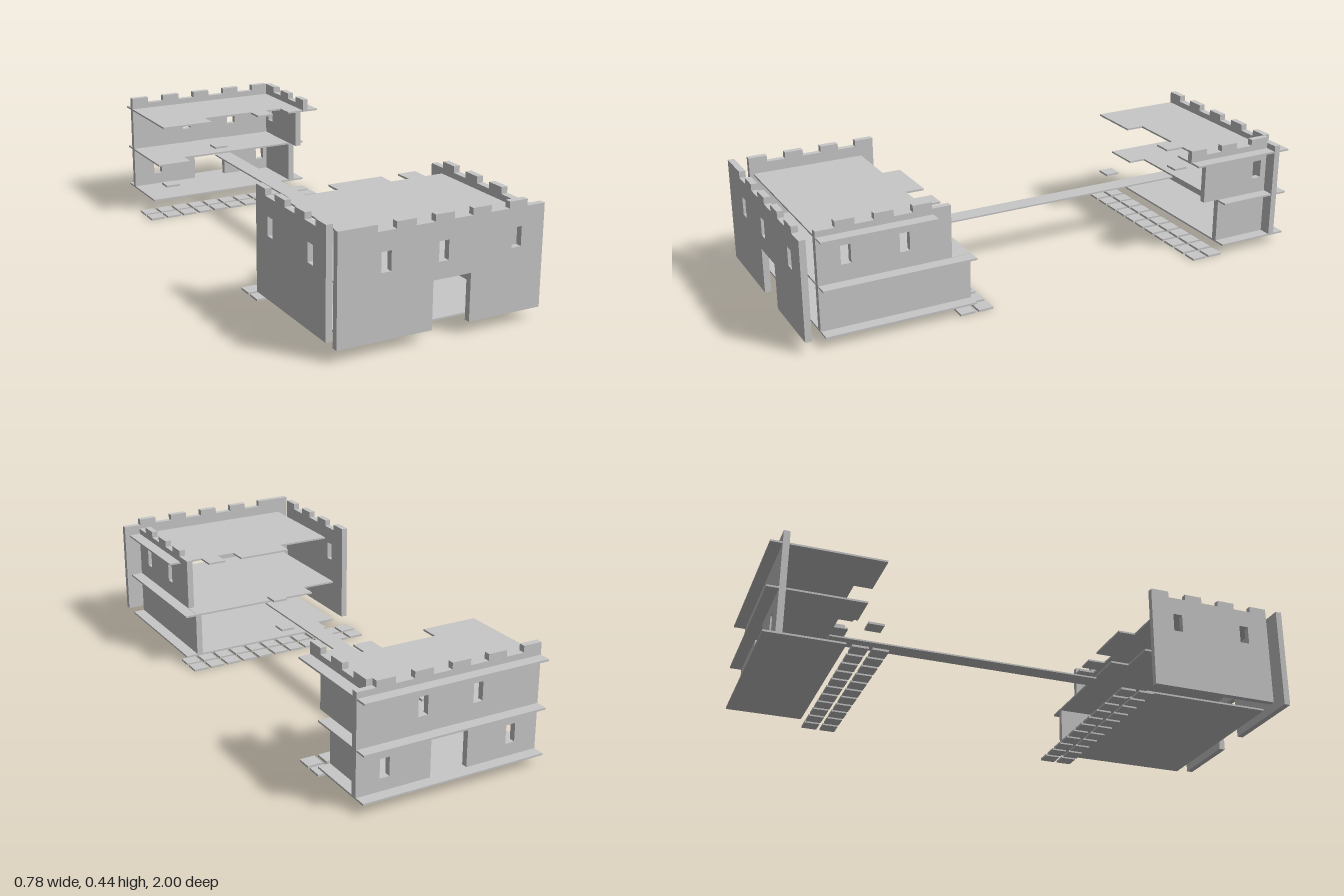
import * as THREE from 'three';

const BASE = 0.043, LOW = 0.413, HIGH = 0.437, MID = 0.215;
const THICK = 0.024;

// One closed shape from [u, v] corners, with rectangular holes [u0, v0, u1, v1]
function plate(points, holes = []) {
  const toV = ([u, v]) => new THREE.Vector2(u, v);
  const shape = new THREE.Shape(points.map(toV));
  for (const [u0, v0, u1, v1] of holes) {
    shape.holes.push(new THREE.Path([[u0, v0], [u0, v1], [u1, v1], [u1, v0]].map(toV)));
  }
  return shape;
}

// Battlement line running from high u to low u: edges descend, flags mark raised spans
function battlement(edges, flags) {
  const pts = [];
  flags.forEach((raised, i) => {
    const y = raised ? HIGH : LOW;
    pts.push([edges[i], y], [edges[i + 1], y]);
  });
  return pts.filter((p, i) => i === 0 || p[0] !== pts[i - 1][0] || p[1] !== pts[i - 1][1]);
}

// Window slot centred on u, v
const slot = (u, v = 0.31) => [u - 0.0185, v - 0.035, u + 0.0185, v + 0.035];

export function createModel() {
  const model = new THREE.Group();
  model.name = 'splitCastle';
  const stone = new THREE.MeshStandardMaterial({ color: 0xc8c8c8 });
  stone.name = 'stone';

  function add(parent, name, geometry) {
    const mesh = new THREE.Mesh(geometry, stone);
    mesh.name = name;
    parent.add(mesh);
    return mesh;
  }
  const extrude = (shape, depth) =>
    new THREE.ExtrudeGeometry(shape, { depth, bevelEnabled: false });

  // Wall across x, starting at z
  function crossWall(parent, name, points, holes, z) {
    add(parent, name, extrude(plate(points, holes), THICK).translate(0, 0, z));
  }
  // Wall along z, starting at x
  function sideWall(parent, name, points, holes, x) {
    add(parent, name, extrude(plate(points, holes), THICK)
      .rotateY(-Math.PI / 2).translate(x + THICK, 0, 0));
  }
  // Floor from [x, z] corners, with its top at the given height
  function floor(parent, name, points, top, thick = 0.007) {
    const flipped = points.map(([x, z]) => [x, -z]);
    add(parent, name, extrude(plate(flipped), thick)
      .rotateX(-Math.PI / 2).translate(0, top - thick, 0));
  }
  function box(parent, name, w, h, d, x, y, z) {
    add(parent, name, new THREE.BoxGeometry(w, h, d).translate(x, y, z));
  }

  const front = new THREE.Group();
  front.name = 'frontHall';
  const back = new THREE.Group();
  back.name = 'backHall';
  model.add(front, back);

  // Gate wall edges, shared by the front and back
  const edgesX = [0.392, 0.321, 0.25, 0.178, 0.107, 0.035, -0.037, -0.108, -0.18, -0.25];
  const flagsX = [0, 1, 0, 1, 0, 1, 0, 1, 0, 1];
  const gate = (left) => [
    [left, BASE], [-0.038, BASE], [-0.038, MID], [0.107, MID], [0.107, BASE], [0.392, BASE],
    ...battlement([...edgesX, left], flagsX),
  ];

  // Front hall walls
  crossWall(front, 'frontGateWall', gate(-0.392), [slot(-0.216), slot(-0.001), slot(0.284)], 0.976);
  const edgesZ = [0.928, 0.858, 0.787, 0.717, 0.646, 0.576, 0.505, 0.433];
  sideWall(front, 'frontLeftWall',
    [[0.433, MID], [0.362, MID], [0.362, BASE], [0.928, BASE],
      ...battlement(edgesZ, [0, 1, 0, 1, 0, 1, 0])],
    [slot(0.824), slot(0.609)], 0.32);
  sideWall(front, 'frontRightWall',
    [[0.433, BASE], [0.928, BASE], ...battlement(edgesZ, [1, 0, 1, 0, 1, 0, 1])],
    [slot(0.824), slot(0.54)], -0.392);

  // Front hall floors, broken along the rift
  const R = 0.39, L = -0.322;
  floor(front, 'frontGroundFloor',
    [[L, 0.926], [R, 0.926], [R, 0.36], [-0.25, 0.36], [-0.25, 0.43], [L, 0.43]], BASE);
  floor(front, 'frontUpperFloor',
    [[L, 0.926], [R, 0.926], [R, 0.357], [-0.18, 0.357], [-0.18, 0.43], [L, 0.43]], 0.214);
  floor(front, 'frontRoof',
    [[L, 0.926], [R, 0.926], [R, 0.5], [0.25, 0.5], [0.25, 0.43], [0.178, 0.43], [0.178, 0.5],
      [0.107, 0.5], [0.107, 0.43], [-0.108, 0.43], [-0.108, 0.5], [L, 0.5]], 0.391);

  // Back hall walls
  crossWall(back, 'backGateWall', gate(L),
    [slot(0.143), slot(-0.072), slot(0.284, 0.125), slot(-0.214, 0.125)], -0.956);
  sideWall(back, 'backLeftWall',
    [[-0.932, BASE], [-0.71, BASE], [-0.71, MID], [-0.643, MID], [-0.643, 0.387], [-0.574, 0.387],
      ...battlement([-0.574, -0.643, -0.713, -0.784, -0.855, -0.932], [1, 0, 1, 0, 1])],
    [slot(-0.888)], 0.32);

  // Back hall floors
  floor(back, 'backGroundFloor', [[L, -0.71], [R, -0.71], [R, -1], [L, -1]], BASE);
  floor(back, 'backUpperFloor',
    [[L, -0.642], [-0.18, -0.642], [-0.18, -0.71], [R, -0.71], [R, -1], [L, -1]], 0.214);
  floor(back, 'backRoof',
    [[L, -0.576], [-0.108, -0.576], [-0.108, -0.647], [0.107, -0.647], [0.107, -0.576],
      [0.178, -0.576], [0.178, -0.647], [0.25, -0.647], [0.25, -0.576], [R, -0.576],
      [R, -1], [L, -1]], 0.391);

  // Bridge over the rift
  box(model, 'bridge', 0.07, 0.006, 1.07, 0, 0.204, -0.175);

  // Paving rows on the ground along both edges
  const paving = new THREE.Group();
  paving.name = 'paving';
  model.add(paving);
  const stoneTile = (name, x, y, z) => box(paving, name, 0.058, 0.008, 0.058, x, y, z);
  for (const z of [0.323, 0.394, -0.606, -0.677]) {
    for (let i = -5; i <= 5; i++) stoneTile('pavingStone', i * 0.0716, 0.004, z);
  }

  // Loose raised stepping stones
  for (const [x, y, z] of [[0, 0.231, 0.323], [0, 0.231, -0.752],
    [-0.072, 0.066, 0.394], [-0.286, 0.137, -0.606]]) {
    stoneTile('steppingStone', x, y, z);
  }
  return model;
}
